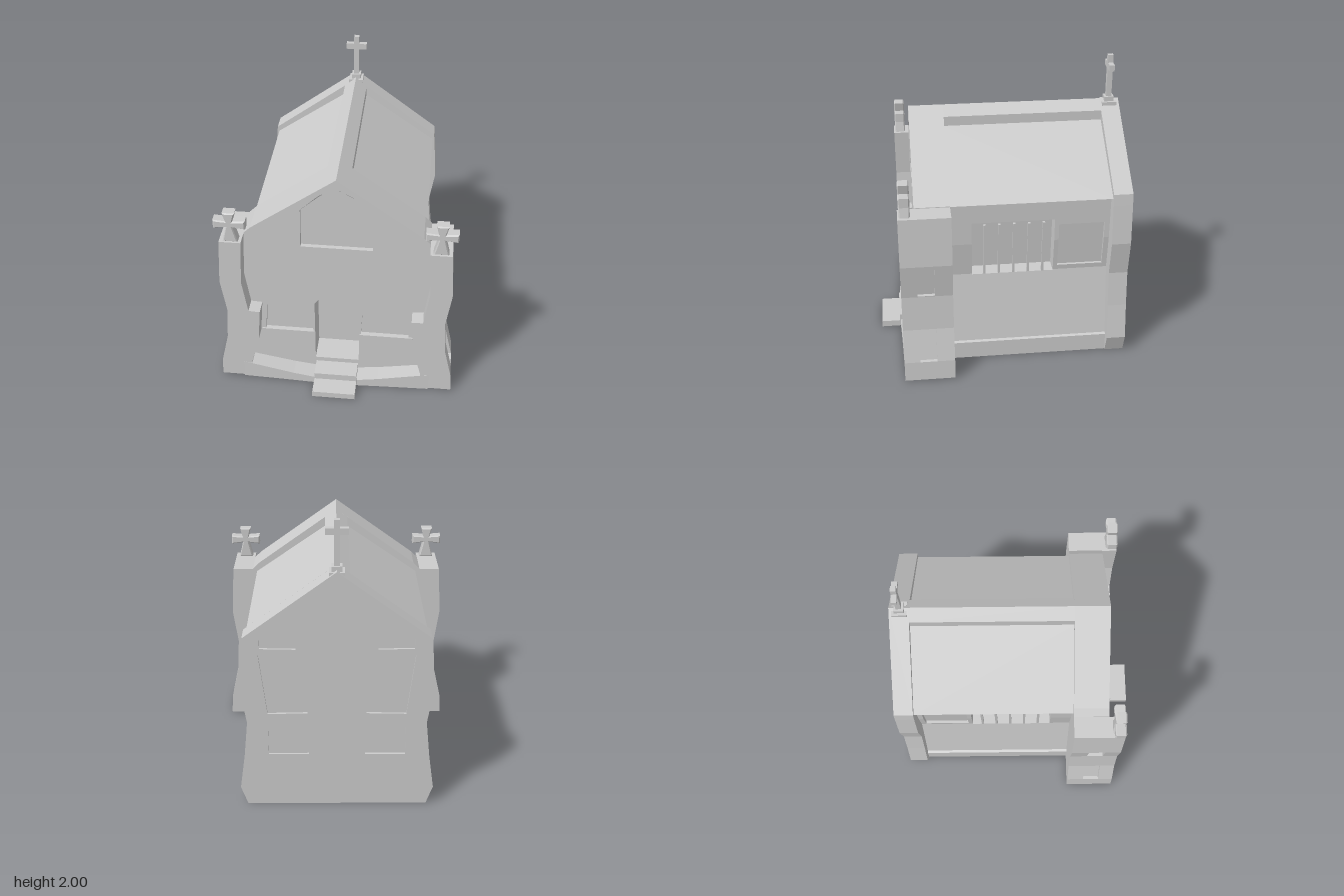
import * as THREE from 'three';

const material = new THREE.MeshStandardMaterial({ color: 0xcccccc, flatShading: true, side: THREE.DoubleSide });

// Half profiles as [x, y], from the ground upwards
const BACK = [[0.6, 0], [0.645, 0.13], [0.61, 0.38], [0.585, 0.63], [0.625, 0.88], [0.605, 1.16], [0.597, 1.24], [0, 1.685]];
const FRONT = [[0.6, 0], [0.645, 0.13], [0.61, 0.38], [0.598, 0.63], [0.633, 0.88], [0.615, 1.225], [0.57, 1.27], [0, 1.685]];
const WALL = [[0.588, 0], [0.588, 0.125], [0.57, 0.132], [0.53, 0.38], [0.492, 0.63], [0.522, 0.88], [0.53, 1.2]];
const ROOF = [[0.53, 1.2], [0.585, 1.205], [0.08, 1.56], [0.08, 1.626], [0, 1.685]];
const PILASTER = [[0.82, 0.01], [0.812, 0.15], [0.76, 0.38], [0.745, 0.63], [0.78, 0.88], [0.76, 1.22], [0.615, 1.22]];
const PILASTER_INNER = [[0.615, 1.22], [0.633, 0.88], [0.598, 0.63], [0.52, 0.625], [0.54, 0.37], [0.6, 0.14], [0.6, 0.01]];

// Depths of the front wall and of the pilaster fronts
const WALL_Z = 0.595, PILASTER_Z = 0.702;

const mirrored = pts => pts.map(([x, y]) => [-x, y]).reverse();
const outlineOf = half => [...half, ...mirrored(half).slice(1)];

function add(parent, name, geometry, x = 0, y = 0, z = 0) {
  const mesh = new THREE.Mesh(geometry, material);
  mesh.name = name;
  mesh.position.set(x, y, z);
  parent.add(mesh);
  return mesh;
}

// Surface through rows of points [x, y, z]
function skin(rows) {
  const n = rows[0].length, index = [];
  for (let r = 0; r < rows.length - 1; r++) {
    for (let i = 0; i < n - 1; i++) {
      const a = r * n + i, b = a + n;
      index.push(a, b, a + 1, b, b + 1, a + 1);
    }
  }
  const g = new THREE.BufferGeometry();
  g.setAttribute('position', new THREE.Float32BufferAttribute(rows.flat(2), 3));
  g.setIndex(index);
  const flat = g.toNonIndexed();
  flat.computeVertexNormals();
  return flat;
}

const atZ = (pts, z) => pts.map(([x, y]) => [x, y, z]);
const strip = (pts, z0, z1) => skin([atZ(pts, z1), atZ(pts, z0)]);
const toVectors = pts => pts.map(([x, y]) => new THREE.Vector2(x, y));

function face(pts, holes = []) {
  const shape = new THREE.Shape(toVectors(pts));
  holes.forEach(h => shape.holes.push(new THREE.Path(toVectors(h))));
  return new THREE.ShapeGeometry(shape);
}

// Recess behind a hole in a face; the back outline may differ from the rim
function pocket(parent, name, rim, back, zRim, zBack) {
  const close = p => [...p, p[0]];
  add(parent, name + 'Reveal', skin([atZ(close(rim), zRim), atZ(close(back), zBack)]));
  add(parent, name + 'Back', face(back), 0, 0, zBack);
}

function profileX(levels, y) {
  for (let i = 1; i < levels.length; i++) {
    const [x0, y0] = levels[i - 1], [x1, y1] = levels[i];
    if (y <= y1) return x0 + (x1 - x0) * (y - y0) / (y1 - y0);
  }
  return levels.at(-1)[0];
}

// Length of wavy wall, with recesses [bottom, top, depth]
function wallPiece(parent, name, levels, z0, z1, notches = []) {
  let pts = levels.slice();
  for (const [y0, y1, depth] of notches) {
    const quad = [[0, y0], [depth, y0], [depth, y1], [0, y1]].map(([d, y]) => [profileX(levels, y) - d, y]);
    const below = pts.filter(p => p[1] < y0 - 1e-4), above = pts.filter(p => p[1] > y1 + 1e-4);
    const bulge = levels.filter(p => p[1] > y0 + 1e-4 && p[1] < y1 - 1e-4).reverse();
    pts = [...below, ...quad, ...above];
    for (const z of [z0, z1]) add(parent, name + 'RecessEnd', face([...quad, ...bulge]), 0, 0, z);
  }
  add(parent, name, strip(pts, z0, z1));
}

// Inner face of a gable frame, between its outline and the side wall and roof
const frameFace = frame => face([...frame.slice(0, -1), [0.08, 1.626], ...ROOF.slice(0, 3).reverse(), ...WALL.slice(0, -1).reverse()]);

// Everything that appears on both sides, built for +x
function buildSide() {
  const side = new THREE.Group();

  // Side wall with blind panel and barred window
  const cuts = [-0.72, -0.685, -0.375, -0.345, 0.215, 0.36];
  const recesses = [[], [[0.665, 1, 0.02]], [], [[0.625, 1.04, 0.11]], []];
  recesses.forEach((r, i) => wallPiece(side, 'sideWall', WALL, cuts[i], cuts[i + 1], r));
  for (let i = 0; i < 5; i++) {
    const bar = add(side, 'windowBar', new THREE.BoxGeometry(0.018, 0.395, 0.016), 0.5, 0.823, 0.128 - i * 0.1);
    bar.rotation.z = -0.08;
  }

  // Sunken roof panel and half of the ridge beam
  add(side, 'roofPanel', strip(ROOF, -0.72, 0.36));
  add(side, 'backFrameInnerFace', frameFace(BACK), 0, 0, -0.72);
  add(side, 'frontFrameInnerFace', frameFace(FRONT), 0, 0, 0.36);

  // Front pilaster with two slots on its outer side
  wallPiece(side, 'pilaster', PILASTER, 0.36, 0.48);
  wallPiece(side, 'pilaster', PILASTER, 0.48, WALL_Z, [[0.15, 0.38, 0.025], [0.635, 0.88, 0.025]]);
  wallPiece(side, 'pilaster', PILASTER, WALL_Z, PILASTER_Z);
  add(side, 'pilasterInnerSide', strip(PILASTER_INNER, WALL_Z, PILASTER_Z));
  add(side, 'pilasterFront', face([...PILASTER, ...PILASTER_INNER.slice(1)]), 0, 0, PILASTER_Z);
  add(side, 'pilasterBack', face([...PILASTER, ...FRONT.slice(0, 5).reverse()]), 0, 0, 0.36);

  // Flared cross on the pilaster
  const quarter = [[0.05, 0], [0.022, 0.115], [0.105, 0.103], [0.105, 0.167], [0.024, 0.16], [0.04, 0.225]];
  const cross = new THREE.ExtrudeGeometry(new THREE.Shape(toVectors([...quarter, ...mirrored(quarter)])), {
    depth: 0.058, bevelThickness: 0.008, bevelSize: 0.008, bevelOffset: -0.008, bevelSegments: 1,
  });
  add(side, 'pilasterCross', cross, 0.685, 1.22, 0.628);

  // Window sill
  add(side, 'windowSill', new THREE.BoxGeometry(0.37, 0.015, 0.02), 0.345, 0.378, WALL_Z);

  // Bowed ledge dipping towards the steps
  const ledge = [[0, 0.05, 0.72], [0.15, 0.053, 0.72], [0.3, 0.072, 0.714], [0.45, 0.1, 0.709], [0.66, 0.14, 0.703]];
  add(side, 'frontLedge', skin(ledge.map(([x, y, z]) => [[x, 0, z], [x, y, z], [x, y, WALL_Z]])));
  return side;
}

export function createModel() {
  const model = new THREE.Group();
  model.name = 'chapel';

  const left = buildSide();
  left.name = 'leftSide';
  const right = left.clone();
  right.name = 'rightSide';
  right.scale.x = -1;
  model.add(left, right);

  // Gable frames
  const frontGable = outlineOf(FRONT), backGable = outlineOf(BACK);
  add(model, 'frontFrame', strip(frontGable, 0.36, WALL_Z));
  add(model, 'backFrame', strip(backGable, -0.85, -0.72));

  // Front wall: door, gable panel and two windows
  const door = outlineOf([[0.155, 0.13], [0.155, 0.64], [0.085, 0.745], [0, 0.81]]);
  const panelRim = outlineOf([[0.24, 1.14], [0.235, 1.44], [0.11, 1.56], [0, 1.615]]);
  const panelBack = outlineOf([[0.24, 1.14], [0.235, 1.44], [0.11, 1.535], [0, 1.615]]);
  const leftWindow = [[0.168, 0.385], [0.503, 0.385], [0.488, 0.602], [0.178, 0.602]];
  const rightWindow = mirrored(leftWindow);
  add(model, 'frontWall', face(frontGable, [door, panelRim, leftWindow, rightWindow]), 0, 0, WALL_Z);
  pocket(model, 'door', door, door, WALL_Z, 0.4);
  pocket(model, 'gablePanel', panelRim, panelBack, WALL_Z, WALL_Z - 0.03);
  pocket(model, 'leftFrontWindow', leftWindow, leftWindow, WALL_Z, WALL_Z - 0.025);
  pocket(model, 'rightFrontWindow', rightWindow, rightWindow, WALL_Z, WALL_Z - 0.025);

  // Back wall: three crooked blind windows on each side
  const half = [
    [[0.49, 1.165], [0.49, 1.24], [0.26, 1.41], [0.26, 1.16]],
    [[0.45, 0.695], [0.5, 1.12], [0.245, 1.115], [0.19, 0.7]],
    [[0.45, 0.39], [0.45, 0.61], [0.185, 0.61], [0.185, 0.39]],
  ];
  const backWindows = [...half, ...half.map(mirrored)];
  add(model, 'backWall', face(backGable, backWindows), 0, 0, -0.85);
  backWindows.forEach(w => pocket(model, 'backWindow', w, w, -0.85, -0.835));

  // Steps
  add(model, 'upperStep', new THREE.BoxGeometry(0.3, 0.055, 0.13), 0, 0.0675, 0.66);
  add(model, 'lowerStep', new THREE.BoxGeometry(0.3, 0.045, 0.15), 0, 0.0225, 0.78);

  // Ridge cross on its foot
  const ridge = new THREE.Group();
  ridge.name = 'ridgeCross';
  ridge.position.z = -0.782;
  add(ridge, 'foot', new THREE.BoxGeometry(0.1, 0.025, 0.1), 0, 1.66, 0);
  add(ridge, 'collar', new THREE.BoxGeometry(0.065, 0.035, 0.065), 0, 1.688, 0);
  add(ridge, 'post', new THREE.BoxGeometry(0.036, 0.31, 0.036), 0, 1.845, 0);
  add(ridge, 'arms', new THREE.BoxGeometry(0.145, 0.042, 0.036), 0, 1.925, 0);
  model.add(ridge);
  return model;
}
